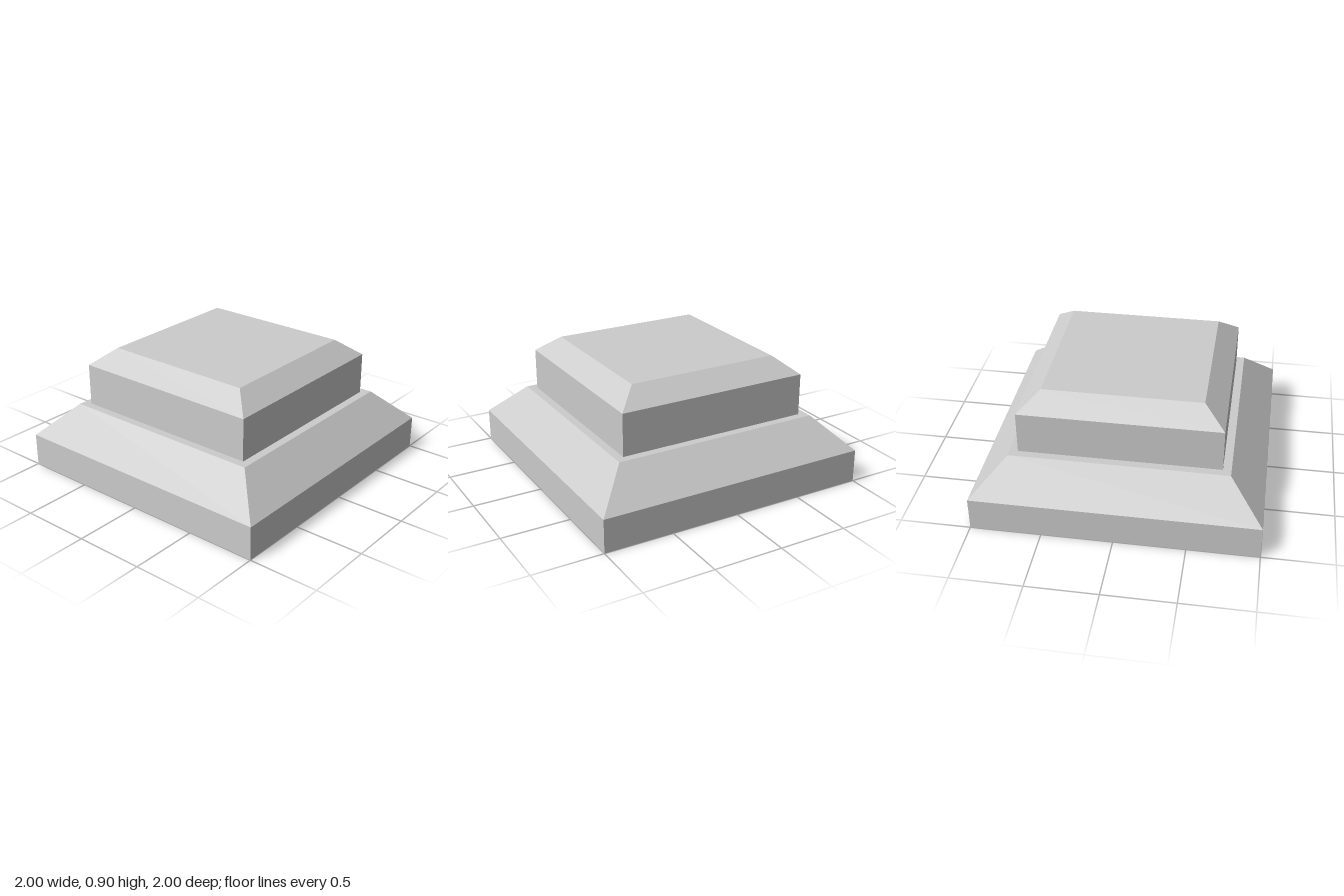
import * as THREE from 'three';

const material = new THREE.MeshStandardMaterial({ color: 0xcccccc, flatShading: true });

// Square tier: a four-sided lathe; the profile is [half width, height] from bottom to top
function squareTier(name, profile) {
  const points = profile.map(([half, y]) => new THREE.Vector2(half * Math.SQRT2, y));
  const geometry = new THREE.LatheGeometry(points, 4, Math.PI / 4).toNonIndexed();
  geometry.computeVertexNormals();
  const mesh = new THREE.Mesh(geometry, material);
  mesh.name = name;
  return mesh;
}

export function createModel() {
  const group = new THREE.Group();
  group.name = 'steppedPedestal';

  // Wide plinth with a sloped shoulder and a narrow ledge
  group.add(squareTier('base', [[0, 0], [1, 0], [1, 0.24], [0.762, 0.475], [0.704, 0.475]]));

  // Upright block with a bevelled top
  group.add(squareTier('upperBlock', [[0.704, 0.475], [0.704, 0.778], [0.555, 0.9], [0, 0.9]]));

  return group;
}
